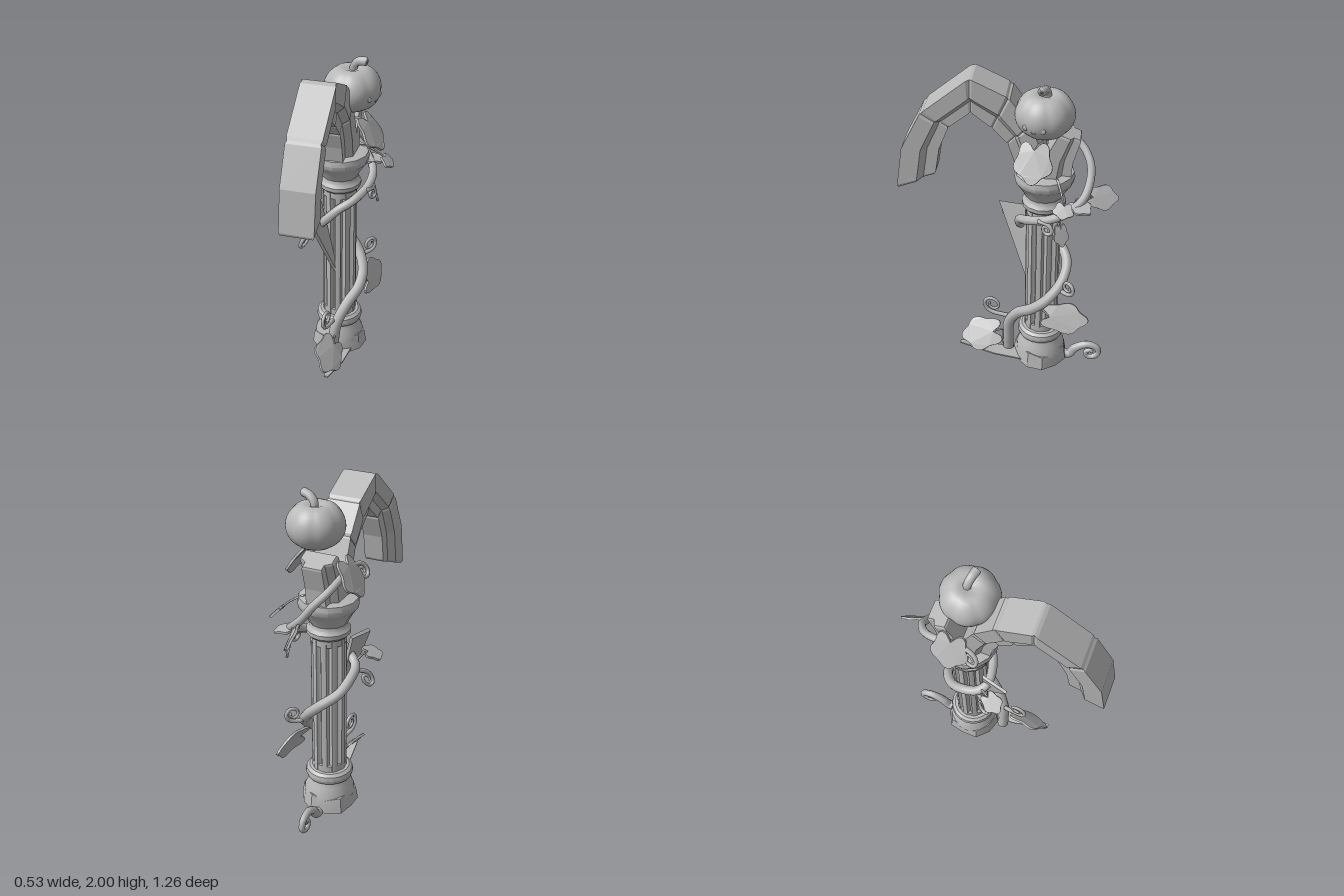
import * as THREE from 'three';
import { mergeVertices, toCreasedNormals } from 'three/addons/utils/BufferGeometryUtils.js';

const CX = -0.028, CZ = -0.205; // column axis
const V = (x, y, z) => new THREE.Vector3(x, y, z);

export function createModel() {
  const model = new THREE.Group();
  const stone = new THREE.MeshStandardMaterial({ color: 0xb8b8b8 });
  const add = (name, geo, x = 0, y = 0, z = 0) => {
    const m = new THREE.Mesh(geo, stone);
    m.name = name;
    m.position.set(x, y, z);
    model.add(m);
    return m;
  };

  // Rough plinth
  const plinth = new THREE.CylinderGeometry(0.155, 0.168, 0.1, 11, 2);
  const pp = plinth.attributes.position;
  for (let i = 0; i < pp.count; i++) {
    const a = Math.atan2(pp.getZ(i), pp.getX(i));
    const k = 1 + 0.04 * Math.sin(a * 5 + 1) + 0.03 * Math.cos(a * 3);
    pp.setX(i, pp.getX(i) * k);
    pp.setZ(i, pp.getZ(i) * k);
    if (pp.getY(i) > 0.04) pp.setY(i, 0.045 + 0.015 * Math.sin(a * 4));
  }
  add('plinth', toCreasedNormals(plinth, 0.5), CX, 0.08, CZ);

  // Turned mouldings at the foot and the head of the column
  const lathe = (name, pts, seg) => add(name, toCreasedNormals(
    new THREE.LatheGeometry(pts.map(p => new THREE.Vector2(p[0], p[1])), seg), 0.6), CX, 0, CZ);
  lathe('footMoulding', [[0.153, 0.1], [0.148, 0.135], [0.128, 0.18], [0.118, 0.21], [0.135, 0.222],
    [0.143, 0.245], [0.138, 0.27], [0.12, 0.285], [0, 0.29]], 20);
  lathe('capital', [[0, 1.165], [0.112, 1.17], [0.126, 1.185], [0.128, 1.21], [0.112, 1.23], [0.108, 1.25],
    [0.13, 1.29], [0.158, 1.335], [0.168, 1.345], [0.175, 1.375], [0.168, 1.405], [0.15, 1.41], [0, 1.41]], 14);

  // Fluted shaft
  const flutes = 10, outline = [];
  for (let i = 0; i < flutes * 8; i++) {
    const a = i / (flutes * 8) * Math.PI * 2;
    const r = 0.102 - 0.022 * Math.pow(Math.max(0, Math.sin(a * flutes)), 0.6);
    outline.push(new THREE.Vector2(Math.cos(a) * r, Math.sin(a) * r));
  }
  const shaft = new THREE.ExtrudeGeometry(new THREE.Shape(outline), { depth: 0.92, bevelEnabled: false });
  shaft.rotateX(-Math.PI / 2);
  add('flutedShaft', toCreasedNormals(shaft, 0.7), CX, 0.27, CZ);
  // Plain bands where the flutes stop
  for (const y of [0.3, 1.15]) add('shaftBand', new THREE.CylinderGeometry(0.1, 0.1, 0.05, 20), CX, y, CZ);

  // Loft closed rings with fan caps
  const loft = rings => {
    const out = [], n = rings[0].length;
    const tri = (...p) => p.forEach(q => out.push(q.x, q.y, q.z));
    for (let i = 0; i + 1 < rings.length; i++) for (let j = 0; j < n; j++) {
      const k = (j + 1) % n, A = rings[i], B = rings[i + 1];
      tri(A[j], A[k], B[k]);
      tri(A[j], B[k], B[j]);
    }
    [rings[0], rings[rings.length - 1]].forEach((R, end) => {
      const c = R.reduce((s, p) => s.add(p), V(0, 0, 0)).divideScalar(n);
      for (let j = 0; j < n; j++) {
        const k = (j + 1) % n;
        end ? tri(c, R[j], R[k]) : tri(c, R[k], R[j]);
      }
    });
    const g = new THREE.BufferGeometry();
    g.setAttribute('position', new THREE.Float32BufferAttribute(out, 3));
    g.computeVertexNormals();
    return g;
  };

  // Arch stone: stepped section along stations [outer z, outer y, inner z, inner y]
  const section = [[-0.098, 0], [0.098, 0], [0.098, 0.52], [0.06, 0.68], [0.06, 1], [-0.06, 1], [-0.06, 0.68], [-0.098, 0.52]];
  const ring = (s, k) => section.map(([x, t]) => {
    const u = 0.5 + (t - 0.5) * k;
    return V(CX + x * k, s[1] + (s[3] - s[1]) * u, s[0] + (s[2] - s[0]) * u);
  });
  const mix = (a, b, t) => a.map((v, i) => v + (b[i] - v) * t);
  const block = (name, st) => {
    const n = st.length - 1;
    add(name, loft([ring(st[0], 0.93), ring(mix(st[0], st[1], 0.07), 1),
      ...st.slice(1, n).map(s => ring(s, 1)), ring(mix(st[n], st[n - 1], 0.07), 1), ring(st[n], 0.93)]));
  };
  const A = [0.63, 1.29, 0.41, 1.375], B = [0.59, 1.55, 0.383, 1.54], C = [0.475, 1.775, 0.325, 1.68],
    D = [0.2, 2.0, 0.2, 1.78], E = [-0.01, 1.9, 0.085, 1.69], F = [-0.13, 1.74, 0.0, 1.6],
    G = [-0.2, 1.56, -0.035, 1.5], H = [-0.23, 1.38, -0.055, 1.38];
  [[A, B, C], [C, D], [D, E], [E, F], [F, G, H]].forEach(b => block('archStone', b));
  block('brokenSpringer', [[-0.18, 1.38, -0.355, 1.38], [-0.215, 1.54, -0.365, 1.5], [-0.285, 1.69, -0.405, 1.64]]);

  // Thin splinter split off the front of the shaft
  const sliver = (y, xb, zb, xf, zf) => [V(xb - 0.008, y, zb), V(xf - 0.008, y - 0.015, zf), V(xf + 0.008, y, zf), V(xb + 0.008, y + 0.01, zb)];
  add('splinter', loft([sliver(0.63, -0.03, -0.125, -0.03, -0.108), sliver(1.1, -0.115, -0.09, -0.155, 0.07)]));

  // Tapered tube through points, drawn to a point at both ends
  const tube = (name, pts, r0, r1, seg = 40, sides = 7) => {
    const path = new THREE.CatmullRomCurve3(pts);
    const g = new THREE.TubeGeometry(path, seg, r0, sides), p = g.attributes.position, v = V(0, 0, 0);
    for (let i = 0; i <= seg; i++) {
      const c = path.getPointAt(i / seg), k = i % seg ? 1 + (r1 / r0 - 1) * i / seg : 0;
      for (let j = 0; j <= sides; j++) {
        const id = i * (sides + 1) + j;
        v.fromBufferAttribute(p, id).sub(c).multiplyScalar(k).add(c);
        p.setXYZ(id, v.x, v.y, v.z);
      }
    }
    return add(name, g);
  };

  // Main vine winding up the column
  tube('vine', [[-0.03, 0.02, 0.0], [-0.01, 0.15, 0.0], [0.01, 0.3, -0.01], [0.06, 0.42, -0.07], [0.11, 0.5, -0.16],
    [0.11, 0.58, -0.25], [0.05, 0.68, -0.33], [-0.04, 0.77, -0.35], [-0.13, 0.84, -0.29], [-0.16, 0.9, -0.2],
    [-0.15, 0.94, -0.11], [-0.1, 0.98, -0.065], [0, 1.08, -0.07], [0.08, 1.13, -0.12], [0.14, 1.18, -0.24],
    [0.14, 1.23, -0.34], [0.08, 1.29, -0.43], [0, 1.37, -0.465], [-0.06, 1.45, -0.46], [-0.13, 1.53, -0.4],
    [-0.155, 1.58, -0.28], [-0.15, 1.6, -0.2]].map(p => V(...p)), 0.036, 0.021, 140, 9);
  // Curled root behind the plinth
  tube('curledRoot', [[0.035, -0.34], [0.035, -0.39], [0.085, -0.43], [0.118, -0.5], [0.1, -0.56], [0.055, -0.575],
    [0.02, -0.545], [0.022, -0.505], [0.055, -0.495], [0.07, -0.525], [0.05, -0.54]]
    .map(([y, z]) => V(-0.03, y, z)), 0.032, 0.012, 60);

  // Spiral tendrils: start, outward direction, up direction, size
  const tendril = (start, out, up, s) => {
    const o = V(...out).normalize(), u = V(...up).normalize(), pts = [V(...start)];
    for (let i = 0; i <= 14; i++) {
      const a = -Math.PI / 2 + i / 14 * Math.PI * 2.8, r = 0.6 - 0.42 * i / 14;
      pts.push(V(...start).addScaledVector(o, s * (1 + r * Math.cos(a))).addScaledVector(u, s * (0.6 + r * Math.sin(a))));
    }
    tube('tendril', pts, 0.015, 0.008, 44, 6);
  };
  tendril([-0.01, 0.33, 0.0], [-0.15, 0.1, 1], [0, 1, 0], 0.1);
  tendril([0.07, 0.63, -0.31], [0.7, 0.1, -0.8], [0, 1, 0], 0.08);
  tendril([-0.15, 0.92, -0.13], [-0.5, -0.4, 0.9], [-0.3, -1, 0], 0.085);
  tendril([0.14, 1.17, -0.18], [0.3, -0.1, -0.9], [0.1, -1, 0], 0.06);
  tendril([-0.15, 1.6, -0.2], [-0.3, -0.1, 1], [-0.5, -1, 0], 0.08);

  // Lobed leaves: centre, tip direction, facing direction, length, width, stalk start
  const leafShape = new THREE.Shape();
  for (let i = 0; i <= 48; i++) {
    const a = i / 48 * Math.PI * 2; // measured from the stalk notch
    const r = (0.46 + 0.045 * Math.cos(5 * (a - Math.PI))) * (1 - 0.4 * Math.exp(-Math.pow(Math.sin(a / 2) / 0.13, 2)));
    leafShape[i ? 'lineTo' : 'moveTo'](Math.sin(a) * r, -Math.cos(a) * r);
  }
  const leaf = (c, tip, face, len, wid, stalk) => {
    const t = V(...tip).normalize(), n = V(...face);
    n.addScaledVector(t, -n.dot(t)).normalize();
    const g = new THREE.ExtrudeGeometry(leafShape, { depth: 0.014, bevelEnabled: false, curveSegments: 1 });
    g.translate(0, 0, -0.007);
    g.scale(wid, len, 1);
    const p = g.attributes.position;
    for (let i = 0; i < p.count; i++) p.setZ(i, p.getZ(i) - 1.4 * p.getX(i) ** 2 - 0.8 * p.getY(i) ** 2);
    g.computeVertexNormals();
    g.applyMatrix4(new THREE.Matrix4().makeBasis(t.clone().cross(n), t, n));
    add('leaf', g, ...c);
    const base = V(...c).addScaledVector(t, -0.25 * len), s = V(...stalk);
    tube('leafStalk', [s, s.clone().lerp(base, 0.5).add(V(0, 0.012, 0)), base], 0.008, 0.005, 8, 5);
  };
  leaf([0.02, 0.195, 0.16], [0, -0.25, 1], [0.75, 0.65, 0.15], 0.28, 0.22, [0, 0.22, 0.0]);
  leaf([0.155, 0.475, -0.345], [0.15, 0.05, -1], [1, 0.4, 0], 0.31, 0.2, [0.11, 0.52, -0.18]);
  leaf([0.035, 1.285, -0.535], [-0.25, -0.15, -1], [0.9, 0.5, 0], 0.2, 0.15, [0.08, 1.29, -0.42]);
  leaf([0.23, 1.31, -0.33], [0.6, -0.6, 0.1], [0.7, 0.7, 0], 0.1, 0.12, [0.07, 1.42, -0.28]);
  leaf([0.18, 1.58, -0.155], [0.55, -0.8, 0.05], [0.8, 0.5, 0.1], 0.25, 0.22, [0.03, 1.62, -0.2]);
  leaf([0.12, 1.27, -0.42], [0.5, -0.1, -0.6], [0.3, 1, -0.2], 0.15, 0.12, [0.08, 1.28, -0.4]);
  leaf([-0.195, 1.57, -0.24], [-0.5, -0.85, 0], [-0.85, 0.5, 0], 0.25, 0.22, [-0.15, 1.6, -0.22]);
  leaf([-0.21, 0.99, 0.0], [-0.5, -0.35, 0.8], [-0.6, 0.7, 0.3], 0.15, 0.12, [-0.14, 0.95, -0.1]);
  leaf([0.165, 1.1, -0.32], [0.2, -1, -0.15], [1, 0.2, -0.4], 0.15, 0.09, [0.14, 1.19, -0.28]);

  // Flat shard lying in front of the plinth
  const slat = (z, y, h) => [[-h, 0.005], [-h, -0.005], [h, -0.005], [h, 0.005]].map(([x, d]) => V(0.03 + x, y + d, z));
  add('groundShard', loft([slat(-0.1, 0.05, 0.05), slat(0.08, 0.075, 0.045), slat(0.3, 0.12, 0.012)]));

  // Ribbed pumpkin with a dimple at the top
  let body = new THREE.SphereGeometry(1, 56, 20);
  body.deleteAttribute('uv');
  body.deleteAttribute('normal');
  body = mergeVertices(body, 1e-4);
  const bp = body.attributes.position;
  for (let i = 0; i < bp.count; i++) {
    const x = bp.getX(i), z = bp.getZ(i), rho = Math.hypot(x, z);
    const k = 0.165 * (0.93 + 0.07 * Math.sqrt(Math.abs(Math.sin(3.5 * Math.atan2(z, x) + 0.6))));
    bp.setXYZ(i, x * k, bp.getY(i) * (0.14 - 0.04 * Math.exp(-rho * rho * 8)), z * k);
  }
  body.computeVertexNormals();
  add('pumpkin', body, 0.045, 1.808, CZ);
  tube('pumpkinStem', [V(0.045, 1.88, -0.22), V(0.05, 1.935, -0.215), V(0.08, 1.965, -0.205), V(0.13, 1.975, -0.19)], 0.022, 0.026, 24, 7);

  // Carved face, turned towards the left side
  const face = new THREE.Group();
  face.name = 'pumpkinFace';
  face.position.set(0.045, 1.775, CZ);
  face.rotation.y = Math.PI / 2 - 0.32;
  for (const s of [-1, 1]) {
    const eye = new THREE.Mesh(new THREE.SphereGeometry(0.017, 10, 8), stone);
    eye.name = 'eye';
    eye.position.set(s * 0.05, 0.008, 0.147);
    eye.scale.z = 0.4;
    face.add(eye);
  }
  const mouth = new THREE.Mesh(new THREE.TorusGeometry(0.015, 0.004, 6, 12, Math.PI), stone);
  mouth.name = 'mouth';
  mouth.rotation.z = Math.PI;
  mouth.position.set(0, 0, 0.155);
  face.add(mouth);
  model.add(face);

  return model;
}
